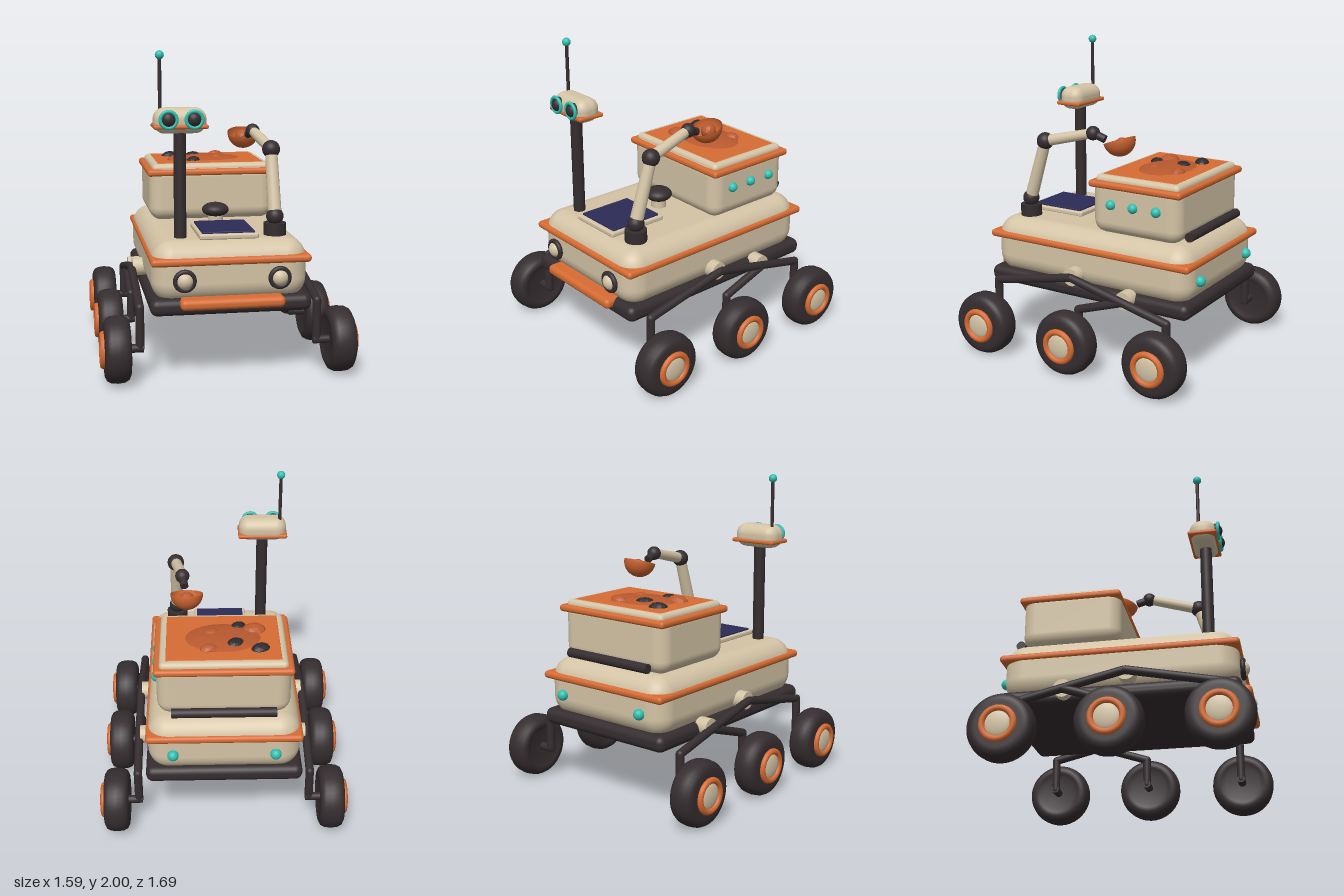
import * as THREE from 'three';
import { RoundedBoxGeometry } from 'three/addons/geometries/RoundedBoxGeometry.js';

const paint = (name, color, extra = {}) => {
  const m = new THREE.MeshStandardMaterial({ color, ...extra });
  m.name = name;
  return m;
};

export function createModel() {
  const cream = paint('cream', 0xd4c4a6);
  const orange = paint('orange', 0xd66b32);
  const dark = paint('charcoal', 0x352d2f);
  const teal = paint('teal', 0x2fc0b2);
  const navy = paint('navy', 0x2b2b56);
  const soil = paint('soil', 0xb9592f, { flatShading: true });
  const stone = paint('stone', 0x2f292b, { flatShading: true });
  const bowlPaint = paint('scoopOrange', 0xc9622f, { side: THREE.DoubleSide });

  const model = new THREE.Group();
  const V = (x, y, z) => new THREE.Vector3(x, y, z);

  const add = (name, geo, mat, x = 0, y = 0, z = 0, parent = model) => {
    const m = new THREE.Mesh(geo, mat);
    m.name = name;
    m.position.set(x, y, z);
    parent.add(m);
    return m;
  };
  const box = (name, mat, w, h, d, r, x, y, z, parent) =>
    add(name, new RoundedBoxGeometry(w, h, d, 5, r), mat, x, y, z, parent);
  const ball = (name, mat, r, x, y, z, parent) =>
    add(name, new THREE.SphereGeometry(r, 24, 16), mat, x, y, z, parent);
  // Round bar between two points, optionally tapered
  const bar = (name, mat, a, b, r0, r1 = r0, parent = model) => {
    const dir = b.clone().sub(a);
    const m = add(name, new THREE.CylinderGeometry(r1, r0, dir.length(), 20), mat, 0, 0, 0, parent);
    m.position.copy(a).add(b).multiplyScalar(0.5);
    m.quaternion.setFromUnitVectors(V(0, 1, 0), dir.normalize());
    return m;
  };

  // Hull
  box('hull', cream, 0.96, 0.38, 1.47, 0.13, 0, 0.68, 0);
  box('hullTrim', orange, 0.98, 0.048, 1.5, 0.022, 0, 0.755, 0);
  box('chassis', dark, 0.99, 0.105, 1.5, 0.045, 0, 0.478, 0);
  box('bumper', orange, 0.64, 0.068, 0.12, 0.03, 0, 0.503, 0.74);
  for (const s of [-1, 1]) {
    ball('headlight', cream, 0.055, s * 0.29, 0.645, 0.735);
    add('headlightRing', new THREE.TorusGeometry(0.056, 0.016, 12, 32), dark, s * 0.29, 0.645, 0.75);
    ball('tailLight', teal, 0.035, s * 0.32, 0.645, -0.745);
  }

  // Cargo bin and its load
  box('cargoBin', cream, 0.83, 0.375, 0.635, 0.085, 0, 1.05, -0.32);
  box('cargoTrim', orange, 0.86, 0.045, 0.66, 0.02, 0, 1.185, -0.325);
  box('cargoRim', cream, 0.79, 0.07, 0.6, 0.03, 0, 1.205, -0.325);
  box('cargoFloor', orange, 0.71, 0.02, 0.525, 0.006, 0, 1.233, -0.323);
  add('soilMound', new THREE.IcosahedronGeometry(1, 2), soil, 0, 1.225, -0.33).scale.set(0.27, 0.04, 0.19);
  const load = [
    [soil, -0.2, 1.23, -0.23, 0.08, 0.05, 0.065], [soil, 0.09, 1.23, -0.455, 0.062, 0.045, 0.046],
    [soil, 0.07, 1.24, -0.275, 0.055, 0.034, 0.047], [stone, -0.23, 1.23, -0.455, 0.066, 0.045, 0.05],
    [stone, -0.075, 1.235, -0.4, 0.068, 0.042, 0.053], [stone, -0.1, 1.235, -0.193, 0.057, 0.035, 0.045],
  ];
  load.forEach(([mat, x, y, z, sx, sy, sz], i) => {
    const rock = add('rock', new THREE.IcosahedronGeometry(1, 1), mat, x, y, z);
    rock.scale.set(sx, sy, sz);
    rock.rotation.y = i * 0.15;
  });
  for (const z of [-0.16, -0.32, -0.485]) ball('binLight', teal, 0.032, 0.418, 1.065, z);
  bar('rearBar', dark, V(-0.325, 0.91, -0.665), V(0.325, 0.91, -0.665), 0.03);

  // Solar panel and sensor dome
  box('panelFrame', cream, 0.365, 0.035, 0.415, 0.012, 0, 0.882, 0.43);
  box('solarPanel', navy, 0.325, 0.02, 0.365, 0.005, 0, 0.901, 0.43);
  bar('domePost', cream, V(0, 0.86, 0.11), V(0, 0.94, 0.11), 0.05);
  ball('sensorDome', dark, 0.088, 0, 0.957, 0.11).scale.y = 0.53;

  // Mast, camera head and antenna
  bar('mast', dark, V(-0.29, 0.86, 0.545), V(-0.29, 1.53, 0.545), 0.038);
  const head = new THREE.Group();
  head.name = 'cameraHead';
  head.position.set(-0.29, 1.585, 0.54);
  model.add(head);
  box('headShell', cream, 0.32, 0.155, 0.175, 0.07, 0, 0, 0, head);
  box('headTrim', orange, 0.33, 0.026, 0.185, 0.011, 0, -0.033, 0, head);
  for (const s of [-1, 1]) {
    ball('lens', dark, 0.047, s * 0.077, 0.012, 0.08, head).scale.z = 0.95;
    add('lensRing', new THREE.TorusGeometry(0.049, 0.011, 12, 32), teal, s * 0.077, 0.012, 0.098, head);
  }
  bar('antenna', dark, V(-0.405, 1.6, 0.515), V(-0.405, 1.97, 0.515), 0.011);
  ball('antennaTip', teal, 0.027, -0.405, 1.973, 0.515);

  // Digging arm
  const shoulder = V(0.3, 0.985, 0.545), elbow = V(0.3, 1.385, 0.42), wrist = V(0.252, 1.465, 0.078);
  bar('armBase', dark, V(0.3, 0.86, 0.545), V(0.3, 0.945, 0.545), 0.07);
  ball('shoulder', dark, 0.054, ...shoulder);
  bar('upperArm', cream, shoulder, elbow, 0.043, 0.038);
  ball('elbow', dark, 0.056, ...elbow);
  bar('forearm', cream, elbow, wrist, 0.037, 0.032);
  ball('wrist', dark, 0.046, ...wrist);
  bar('scoopStub', dark, wrist, V(0.238, 1.432, -0.005), 0.026);
  const scoop = new THREE.Group();
  scoop.name = 'scoop';
  scoop.position.set(0.223, 1.435, -0.102);
  scoop.rotation.x = 0.3;
  model.add(scoop);
  add('bowl', new THREE.SphereGeometry(0.104, 28, 12, 0, Math.PI * 2, Math.PI / 2, Math.PI / 2), bowlPaint, 0, 0, 0, scoop);
  add('sample', new THREE.IcosahedronGeometry(0.05, 1), soil, 0, -0.035, -0.01, scoop);

  // Wheel profile: radius, offset across the width
  const tyre = [[0, -0.06], [0.11, -0.06], [0.14, -0.08], [0.165, -0.078], [0.188, -0.066], [0.201, -0.042], [0.206, 0],
    [0.201, 0.042], [0.188, 0.066], [0.165, 0.078], [0.14, 0.08], [0, 0.08]].map(([r, y]) => new THREE.Vector2(r, y));

  // Wheels and rocker suspension, one set per side
  for (const s of [-1, 1]) {
    const P = (y, z) => V(s * 0.552, y, z);
    for (const z of [0.64, 0, -0.64]) {
      const wheel = new THREE.Group();
      wheel.name = 'wheel';
      wheel.position.set(s * 0.692, 0.21, z);
      wheel.rotation.z = -s * Math.PI / 2;
      model.add(wheel);
      add('tyre', new THREE.LatheGeometry(tyre, 40), dark, 0, 0, 0, wheel);
      add('hubRing', new THREE.TorusGeometry(0.095, 0.02, 12, 36), orange, 0, 0.085, 0, wheel).rotation.x = Math.PI / 2;
      ball('hubCap', cream, 0.083, 0, 0.08, 0, wheel).scale.y = 0.27;
      bar('axle', dark, V(s * 0.53, 0.21, z), V(s * 0.66, 0.21, z), 0.026);
    }
    const links = [
      [P(0.585, 0.06), P(0.465, 0.64)], [P(0.465, 0.64), P(0.21, 0.64)],
      [P(0.585, 0.06), P(0.495, -0.325)],
      [P(0.495, -0.325), P(0.385, 0)], [P(0.385, 0), P(0.21, 0)],
      [P(0.495, -0.325), P(0.42, -0.64)], [P(0.42, -0.64), P(0.21, -0.64)],
    ];
    for (const [a, b] of links) {
      bar('suspensionLink', dark, a, b, 0.027);
      ball('linkJoint', dark, 0.027, ...b);
    }
    for (const [y, z] of [[0.583, 0.065], [0.5, -0.325]])
      bar('pivot', cream, V(s * 0.46, y, z), V(s * 0.545, y, z), 0.058);
  }
  return model;
}
